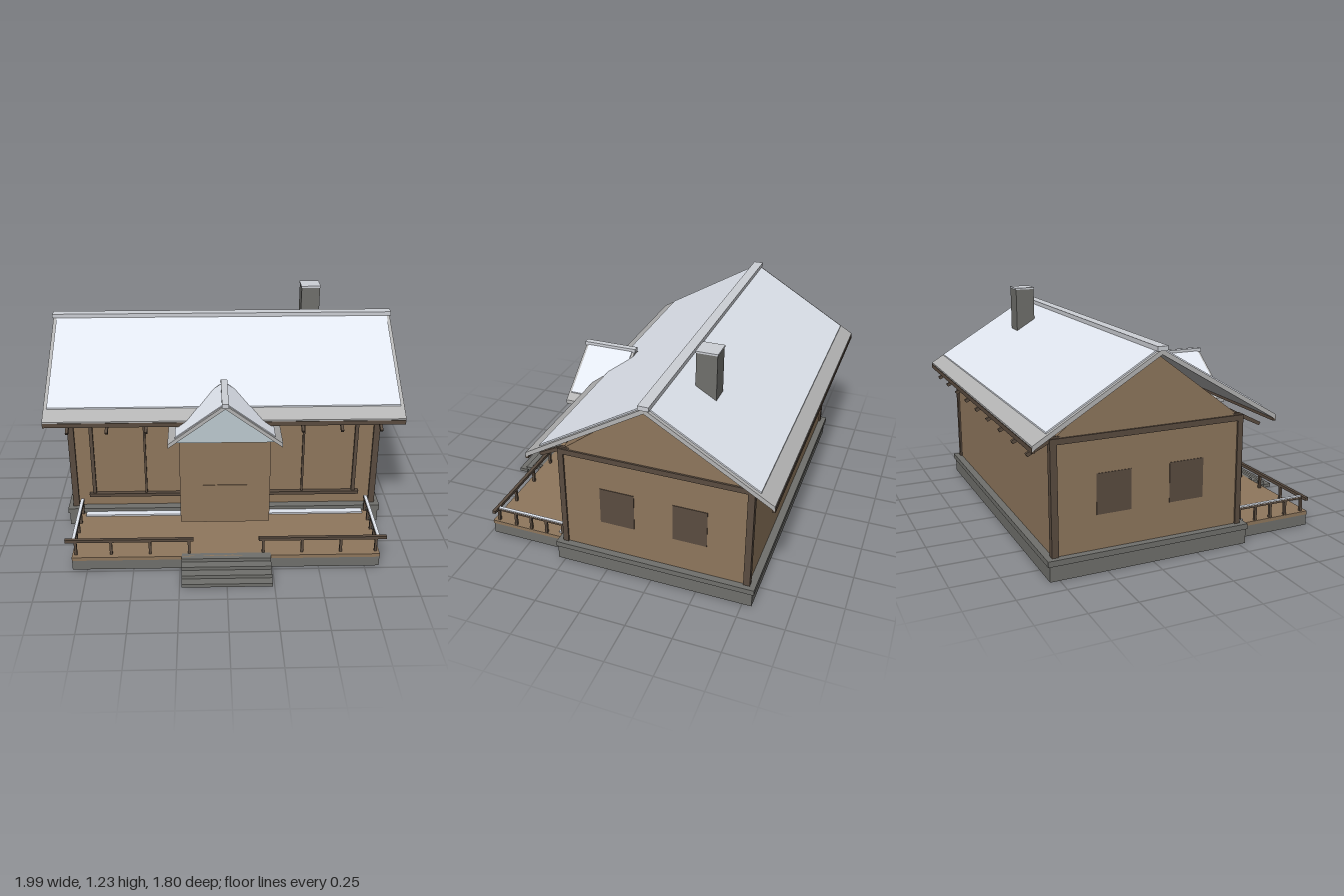
import * as THREE from 'three';

const mat = (color) => new THREE.MeshStandardMaterial({ color });
const WOOD = mat(0x8f775d), DARK = mat(0x5a4c40), STONE = mat(0x70706c);
const SNOW = mat(0xe2e7f0), TRIM = mat(0xb4b4b4), CAP = mat(0xcdd0d6), GLASS = mat(0xbccacf);

export function createModel() {
  const model = new THREE.Group();

  const add = (name, geo, material) => {
    const mesh = new THREE.Mesh(geo, material);
    mesh.name = name;
    model.add(mesh);
    return mesh;
  };
  // Box given by its limits on each axis
  const box = (name, material, [x0, x1], [y0, y1], [z0, z1]) => {
    const mesh = add(name, new THREE.BoxGeometry(x1 - x0, y1 - y0, z1 - z0), material);
    mesh.position.set((x0 + x1) / 2, (y0 + y1) / 2, (z0 + z1) / 2);
    return mesh;
  };
  // Span mirrored to the other side when s is -1
  const span = (s, a, b) => (s > 0 ? [a, b] : [-b, -a]);
  const extrude = (points, depth) => {
    const shape = new THREE.Shape(points.map(([a, b]) => new THREE.Vector2(a, b)));
    return new THREE.ExtrudeGeometry(shape, { depth, bevelEnabled: false });
  };
  // Profile of (z, y) points, run along x from x0 to x1
  const prismX = (name, material, points, x0, x1) => {
    const geo = extrude(points, x1 - x0).rotateY(-Math.PI / 2);
    add(name, geo, material).position.x = x1;
  };
  // Profile of (x, y) points, run along z from z0 to z1
  const prismZ = (name, material, points, z0, z1) => {
    add(name, extrude(points, z1 - z0), material).position.z = z0;
  };

  // Foundation, porch base and deck
  box('foundation', STONE, [-0.9, 0.9], [0, 0.08], [-0.8, 0.29]);
  box('foundationLip', STONE, [-0.907, 0.907], [0.08, 0.11], [-0.81, 0.297]);
  box('porchBase', STONE, [-0.83, 0.83], [0, 0.06], [0.28, 0.73]);
  box('porchDeck', WOOD, [-0.83, 0.83], [0.06, 0.08], [0.28, 0.735]);
  box('deckSnow', SNOW, [-0.8, 0.8], [0.08, 0.09], [0.29, 0.335]);

  // Steps as separate thin treads
  for (let i = 0; i < 4; i++) {
    const z = 0.9 - i * 0.047;
    box('step', STONE, [-0.24, 0.24], [i * 0.02, i * 0.02 + 0.02], [z - 0.05, z]);
  }

  // Walls with gable ends
  const RZ = -0.26; // ridge line
  prismX('walls', WOOD, [[0.25, 0.11], [0.25, 0.69], [RZ, 1.08], [-0.77, 0.69], [-0.77, 0.11]], -0.87, 0.87);

  // Corner posts, top beams and side windows
  for (const s of [1, -1]) {
    box('cornerPost', DARK, span(s, 0.845, 0.88), [0.11, 0.69], [0.235, 0.265]);
    box('cornerPost', DARK, span(s, 0.845, 0.88), [0.11, 0.69], [-0.78, -0.745]);
    box('sideBeam', DARK, span(s, 0.86, 0.88), [0.67, 0.7], [-0.78, 0.265]);
    for (const [z0, z1] of [[-0.15, 0.04], [-0.545, -0.36]])
      box('sideWindow', DARK, span(s, 0.86, 0.873), [0.29, 0.5], [z0, z1]);
  }
  box('frontBeam', DARK, [-0.78, 0.78], [0.655, 0.685], [0.24, 0.265]);
  box('backBeam', DARK, [-0.87, 0.87], [0.67, 0.7], [-0.78, -0.76]);

  // Frames on the front wall
  for (const s of [1, -1]) {
    box('frameSill', DARK, span(s, 0.25, 0.78), [0.175, 0.195], [0.24, 0.275]);
    box('framePost', DARK, span(s, 0.74, 0.76), [0.19, 0.66], [0.24, 0.265]);
    box('framePost', DARK, span(s, 0.445, 0.457), [0.19, 0.66], [0.24, 0.265]);
  }

  // Main roof: one slab, snow sheet, eave board and rafter tails per slope
  const SLOPE = 0.597;
  const roofY = (d) => 1.1 - SLOPE * d; // top of slab at distance d from ridge
  for (const s of [1, -1]) {
    const layer = (d, lo, hi) => [
      [RZ, roofY(0) + hi], [RZ + s * d, roofY(d) + hi],
      [RZ + s * d, roofY(d) + lo], [RZ, roofY(0) + lo],
    ];
    prismX('roofSlab', TRIM, layer(0.642, -0.026, 0), -0.992, 0.992);
    prismX('roofSnow', SNOW, layer(0.57, -0.005, 0.008), -0.973, 0.973);
    const e = RZ + s * 0.637;
    box('eaveBoard', DARK, [-0.99, 0.99], [0.683, 0.708], [e - 0.008, e + 0.008]);
    const tail = [[0.46, 0.71], [0.51, 0.71], [0.635, 0.645], [0.625, 0.63], [0.5, 0.69]]
      .map(([d, y]) => [RZ + s * d, y]);
    for (let i = 0; i < 9; i++) {
      const x = -0.865 + i * 0.21625;
      prismX('rafterTail', DARK, tail, x - 0.008, x + 0.008);
    }
  }
  box('ridgeCap', CAP, [-0.997, 0.997], [1.092, 1.115], [RZ - 0.028, RZ + 0.028]);

  // Chimney
  box('chimney', STONE, [0.48, 0.59], [0.85, 1.22], [-0.485, -0.375]);
  box('chimneyCap', CAP, [0.477, 0.593], [1.22, 1.23], [-0.488, -0.372]);

  // Entrance room with door and glazed gable
  box('entranceRoom', WOOD, [-0.25, 0.25], [0.11, 0.635], [0.24, 0.445]);
  box('door', WOOD, [-0.122, 0.122], [0.11, 0.35], [0.44, 0.45]);
  prismZ('entranceGable', GLASS, [[-0.285, 0.633], [0.285, 0.633], [0, 0.85]], 0.44, 0.48);

  // Entrance roof
  for (const s of [1, -1]) {
    const layer = (x, lo, hi) => {
      const y = 0.865 - 0.745 * x;
      return [[0, 0.865 + hi], [s * x, y + hi], [s * x, y + lo], [0, 0.865 + lo]];
    };
    prismZ('entranceRoofSlab', TRIM, layer(0.31, -0.024, 0), 0.195, 0.5);
    prismZ('entranceRoofSnow', SNOW, layer(0.27, -0.005, 0.006), 0.21, 0.485);
  }
  box('entranceRidgeCap', CAP, [-0.018, 0.018], [0.852, 0.874], [0.19, 0.508]);

  // Porch railings, snow lying on the side rails
  for (const s of [1, -1]) {
    box('frontRail', DARK, span(s, 0.175, 0.865), [0.158, 0.175], [0.693, 0.712]);
    for (const x of [0.2, 0.41, 0.62, 0.81])
      box('frontRailPost', DARK, span(s, x - 0.007, x + 0.007), [0.08, 0.16], [0.696, 0.71]);
    box('sideRail', DARK, span(s, 0.81, 0.83), [0.158, 0.17], [0.285, 0.71]);
    box('sideRailSnow', SNOW, span(s, 0.811, 0.829), [0.17, 0.175], [0.29, 0.692]);
    for (const z of [0.3, 0.4, 0.495, 0.59])
      box('sideRailPost', DARK, span(s, 0.813, 0.827), [0.08, 0.16], [z - 0.007, z + 0.007]);
  }
  return model;
}
